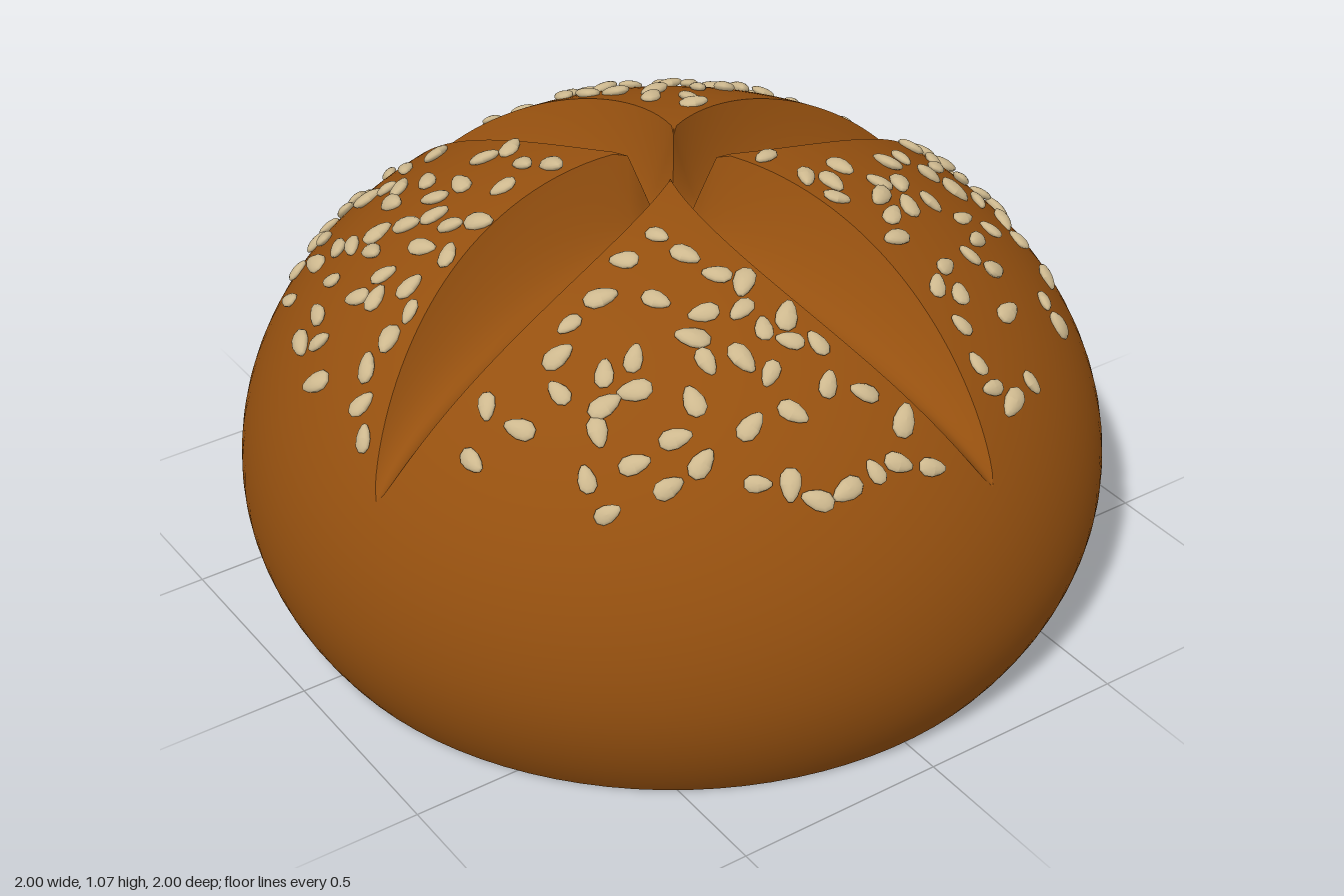
import * as THREE from 'three';
import { mergeGeometries } from 'three/addons/utils/BufferGeometryUtils.js';
import { ParametricGeometry } from 'three/addons/geometries/ParametricGeometry.js';

const MID = 0.3, TOP = 0.765, LOW = 0.69;   // widest height, upper and lower dome heights
const TIP = 0.92;                           // radius where the scores end
const PHI_LOW = -Math.asin(MID / LOW), PHI_TIP = Math.acos(TIP), PHI_TOP = Math.PI / 2 - 0.001;

const lerp = THREE.MathUtils.lerp;
const domeY = (phi) => MID + Math.sin(phi) * (phi > 0 ? TOP : LOW);

// Score layout: direction, half width as an angle, and depth, all by radius
const scoreAngle = (r) => Math.atan(0.14 + 0.1 * Math.min(r, TIP));
function scoreHalf(r, phi) {
  if (phi <= PHI_TIP + 1e-6) return 0;
  const s = Math.max(0, Math.sin(Math.PI * Math.pow(r / TIP, 0.85)));
  return Math.min(Math.PI / 4, 0.145 * Math.pow(s, 0.7) / r);
}
const scoreDepth = (r) => 0.19 * Math.max(0, 1 - Math.pow(r / TIP, 3));
const edgeDrop = (r) => scoreDepth(r) * (1 - THREE.MathUtils.smoothstep(r, 0.02, 0.11));

function place(target, phi, theta, drop) {
  const r = Math.cos(phi);
  target.set(r * Math.sin(theta), domeY(phi) - drop, r * Math.cos(theta));
}

// Crust quarter between two scores, from the open base to the centre
function crustQuarter(k) {
  return new ParametricGeometry((u, v, target) => {
    const phi = v < 0.4 ? lerp(PHI_LOW, PHI_TIP, v / 0.4) : lerp(PHI_TIP, PHI_TOP, (v - 0.4) / 0.6);
    const r = Math.cos(phi), half = scoreHalf(r, phi);
    const a = scoreAngle(r) + k * Math.PI / 2;
    place(target, phi, lerp(a + half, a + Math.PI / 2 - half, u), edgeDrop(r));
  }, 24, 60);
}

// Hollow petal-shaped cut
function scoreCut(k) {
  return new ParametricGeometry((u, v, target) => {
    const phi = lerp(PHI_TIP, PHI_TOP, v), r = Math.cos(phi), q = u * 2 - 1;
    const a = scoreAngle(r) + k * Math.PI / 2;
    const drop = edgeDrop(r);
    place(target, phi, a + q * scoreHalf(r, phi), drop + (scoreDepth(r) - drop) * (1 - Math.abs(q) ** 1.8));
  }, 16, 36);
}

function seededRandom(seed) {
  return () => {
    seed = (seed * 1664525 + 1013904223) % 4294967296;
    return seed / 4294967296;
  };
}

// Flat pointed seeds scattered on the crust between the scores
function seedGeometry() {
  const random = seededRandom(11);
  const base = new THREE.SphereGeometry(1, 10, 8);
  const p = base.attributes.position;
  for (let i = 0; i < p.count; i++) {
    const taper = 1 - 0.3 * p.getZ(i);
    p.setXYZ(i, p.getX(i) * 0.021 * taper, p.getY(i) * 0.012, p.getZ(i) * 0.035);
  }
  base.computeVertexNormals();

  const seeds = [], spots = [];
  for (let tries = 0; tries < 4000 && seeds.length < 180; tries++) {
    const r = Math.sqrt(lerp(0.04, 0.76, random()));
    const phi = Math.acos(r), a = scoreAngle(r), margin = scoreHalf(r, phi) + 0.035 / r;
    const room = Math.PI / 2 - 2 * margin;
    if (room <= 0 || random() > room / (Math.PI / 2) + 0.1) continue;
    const theta = a + margin + random() * room + Math.floor(random() * 4) * Math.PI / 2;
    const spot = new THREE.Vector3();
    place(spot, phi, theta, 0);
    if (spots.some((s) => s.distanceTo(spot) < 0.058)) continue;
    spots.push(spot);

    const up = new THREE.Vector3(spot.x, (spot.y - MID) / (TOP * TOP), spot.z).normalize();
    const turn = new THREE.Quaternion().setFromUnitVectors(new THREE.Vector3(0, 1, 0), up);
    const tilt = new THREE.Euler((random() - 0.5) * 0.4, random() * Math.PI * 2, (random() - 0.5) * 0.4, 'YXZ');
    turn.multiply(new THREE.Quaternion().setFromEuler(tilt));
    const size = lerp(0.85, 1.15, random());
    spot.addScaledVector(up, 0.006);
    seeds.push(base.clone().applyMatrix4(
      new THREE.Matrix4().compose(spot.clone(), turn, new THREE.Vector3(size, size, size))));
  }
  return mergeGeometries(seeds);
}

export function createModel() {
  const crust = new THREE.MeshStandardMaterial({ color: 0x95500f, side: THREE.DoubleSide });
  crust.name = 'brownCrust';
  const grain = new THREE.MeshStandardMaterial({ color: 0xcdb88e });
  grain.name = 'paleSeed';

  const bun = new THREE.Group();
  bun.name = 'seededBun';
  const add = (name, geometry, material) => {
    const mesh = new THREE.Mesh(geometry, material);
    mesh.name = name;
    bun.add(mesh);
  };
  for (let k = 0; k < 4; k++) {
    add('crustQuarter' + (k + 1), crustQuarter(k), crust);
    add('scoreCut' + (k + 1), scoreCut(k), crust);
  }
  add('seeds', seedGeometry(), grain);
  return bun;
}
